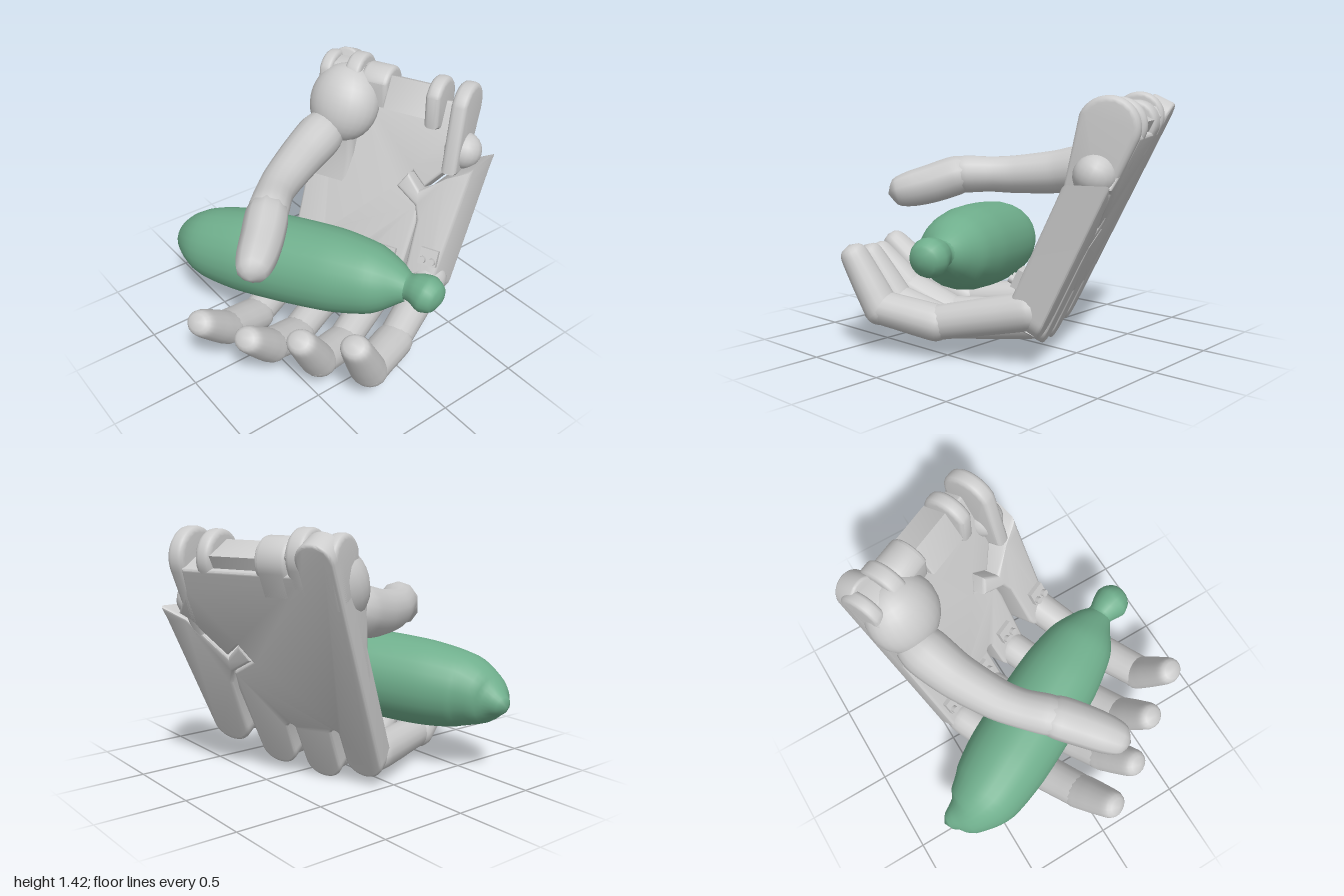
import * as THREE from 'three';
import { mergeVertices, toCreasedNormals } from 'three/addons/utils/BufferGeometryUtils.js';

const V = (x, y, z) => new THREE.Vector3(x, y, z);
// Hand axes: W across the palm, F along the fingers, U up the tilted palm, N out of it
const W = V(0.41, 0, 0.912), F = V(-0.912, 0, 0.41);
const U = V(0.391, 0.903, -0.176), N = V(-0.823, 0.429, 0.37);
const place = (w, f, y) => V(0, y, 0).addScaledVector(W, w).addScaledVector(F, f);

export function createModel() {
  const model = new THREE.Group();
  const grey = new THREE.MeshStandardMaterial({ color: 0xcccccc });
  const green = new THREE.MeshStandardMaterial({ color: 0x6fae8c });

  const add = (parent, name, geometry, material = grey) => {
    const mesh = new THREE.Mesh(geometry, material);
    mesh.name = name;
    parent.add(mesh);
    return mesh;
  };

  // Round body swept through points [vector, radius]; widen stretches it across the palm
  function sweep(stations, steps = 28, sides = 16, widen = 0) {
    const curve = new THREE.CatmullRomCurve3(stations.map(s => s[0]), false, 'catmullrom', 0.4);
    const radius = new THREE.CatmullRomCurve3(stations.map((s, i) => V(s[1], i, 0)), false, 'catmullrom', 0.4);
    const g = new THREE.TubeGeometry(curve, steps, 1, sides);
    const p = g.attributes.position, v = V();
    for (let i = 0; i <= steps; i++) {
      const c = curve.getPointAt(i / steps);
      const r = Math.max(0, radius.getPoint(curve.getUtoTmapping(i / steps)).x);
      for (let j = 0; j <= sides; j++) {
        const k = i * (sides + 1) + j;
        v.fromBufferAttribute(p, k).sub(c).multiplyScalar(r);
        v.addScaledVector(W, widen * v.dot(W)).add(c);
        p.setXYZ(k, v.x, v.y, v.z);
      }
    }
    g.deleteAttribute('uv');
    g.deleteAttribute('normal');
    const merged = mergeVertices(g, 1e-4);
    merged.computeVertexNormals();
    return merged;
  }

  // Straight bone with rounded ends and a slight waist
  function bone(a, b, r0, r1, widen) {
    const d = b.clone().sub(a), len = d.length();
    d.normalize();
    const at = s => a.clone().addScaledVector(d, s);
    const mid = (r0 + r1) * 0.49;
    return sweep([[at(-r0), 0], [at(-r0 * 0.8), r0 * 0.6], [at(-r0 * 0.3), r0 * 0.95], [at(len * 0.25), (r0 + mid) / 2],
      [at(len * 0.6), mid], [at(len + r1 * 0.2), r1 * 0.97], [at(len + r1 * 0.75), r1 * 0.7], [at(len + r1), 0]], 30, 16, widen);
  }

  // Four fingers: w, then joints as [f, y] from knuckle to tip
  const fingers = [
    [-0.34, [[-0.18, 0.17], [0.38, 0.14], [0.68, 0.28], [0.87, 0.46]]],
    [-0.06, [[-0.18, 0.125], [0.38, 0.11], [0.66, 0.25], [0.84, 0.44]]],
    [0.22, [[-0.2, 0.175], [0.33, 0.12], [0.61, 0.23], [0.77, 0.48]]],
    [0.51, [[-0.25, 0.3], [0.25, 0.2], [0.57, 0.26], [0.72, 0.53]]]
  ];
  const radii = [0.106, 0.1, 0.098, 0.08];
  const bones = ['lowerBone', 'middleBone', 'fingertip'];
  fingers.forEach(([w, joints], i) => {
    const finger = new THREE.Group();
    finger.name = 'finger' + (i + 1);
    const pts = joints.map(([f, y]) => place(w, f, y));
    for (let k = 0; k < 3; k++)
      add(finger, bones[k], bone(pts[k], pts[k + 1], radii[k], radii[k + 1] * 0.95, k ? 0.13 : 0));
    model.add(finger);
  });

  // Thumb
  add(model, 'thumbLower', sweep([[V(0.38, 1.05, -0.51), 0], [V(0.35, 1.03, -0.5), 0.1], [V(0.24, 0.99, -0.46), 0.14],
    [V(0.04, 0.95, -0.38), 0.13], [V(-0.18, 0.93, -0.26), 0.115], [V(-0.3, 0.93, -0.17), 0.108],
    [V(-0.42, 0.93, -0.05), 0.112], [V(-0.47, 0.92, 0.0), 0.075], [V(-0.49, 0.92, 0.02), 0]], 36));
  add(model, 'thumbTip', sweep([[V(-0.36, 0.94, -0.11), 0], [V(-0.38, 0.94, -0.09), 0.08], [V(-0.44, 0.925, -0.03), 0.118],
    [V(-0.55, 0.875, 0.08), 0.118], [V(-0.65, 0.84, 0.17), 0.108], [V(-0.72, 0.82, 0.23), 0.08], [V(-0.75, 0.81, 0.26), 0]], 26, 10));

  // Palm group: x across, y up the palm, z out of the palm
  const palm = new THREE.Group();
  palm.name = 'palm';
  palm.matrix.makeBasis(W, U, N).setPosition(F.clone().multiplyScalar(-0.25));
  palm.matrix.decompose(palm.position, palm.quaternion, palm.scale);
  model.add(palm);

  const extrude = (shape, depth, bevel) => new THREE.ExtrudeGeometry(shape, {
    depth: depth - 2 * bevel, bevelEnabled: true, bevelSize: bevel, bevelThickness: bevel,
    bevelOffset: -bevel, bevelSegments: 3, curveSegments: 10
  }).translate(0, 0, bevel);

  // Main plate with finger lobes below and a lug at the inner corner
  const plate = new THREE.Shape();
  plate.moveTo(-0.43, 1.4);
  plate.lineTo(-0.43, 0.16);
  plate.absarc(-0.325, 0.16, 0.105, Math.PI, 2 * Math.PI);
  plate.absarc(-0.192, 0.34, 0.023, Math.PI, 0, true);
  plate.absarc(-0.065, 0.11, 0.107, Math.PI, 2 * Math.PI);
  plate.absarc(0.075, 0.34, 0.023, Math.PI, 0, true);
  plate.absarc(0.208, 0.165, 0.11, Math.PI, 2 * Math.PI);
  [[0.35, 0.57], [0.34, 0.69], [0.2, 0.775], [0.26, 0.875], [0.35, 0.8], [0.53, 1.02], [0.58, 1.05], [0.48, 1.2],
    [0.46, 1.33], [-0.22, 1.33]].forEach(p => plate.lineTo(...p));
  plate.absarc(-0.325, 1.4, 0.105, 0, Math.PI);
  add(palm, 'palmPlate', toCreasedNormals(extrude(plate, 0.14, 0.015), 0.6));

  // Outer plate that carries the fourth finger; its top edge is level and its side drafts inwards
  const outer = new THREE.Shape();
  outer.moveTo(0.69, 1.09);
  [[0.54, 1.02], [0.35, 0.785], [0.26, 0.87], [0.205, 0.775], [0.345, 0.69], [0.375, 0.61]].forEach(p => outer.lineTo(...p));
  outer.absarc(0.495, 0.29, 0.12, Math.PI, 2 * Math.PI);
  outer.lineTo(0.68, 1.0);
  const outerGeometry = extrude(outer, 0.22, 0.02);
  const op = outerGeometry.attributes.position;
  for (let i = 0; i < op.count; i++) {
    const x = op.getX(i), y = op.getY(i), z = op.getZ(i);
    op.setXY(i, x > 0.55 ? x - 0.25 * z : x, y > 0.92 ? y - 0.5 * z : y);
  }
  add(palm, 'outerPlate', toCreasedNormals(outerGeometry, 0.6));

  // Side profile [up, out] extruded across the palm
  const across = new THREE.Matrix4().makeBasis(V(0, 1, 0), V(0, 0, 1), V(1, 0, 0));
  const sidePart = (name, profile, w0, w1, bevel) => {
    const shape = Array.isArray(profile) ? new THREE.Shape(profile.map(p => new THREE.Vector2(...p))) : profile;
    add(palm, name, toCreasedNormals(extrude(shape, w1 - w0, bevel).applyMatrix4(across).translate(w0, 0, 0), 0.6));
  };
  const lug = (low, top, out) => {
    const s = new THREE.Shape();
    s.moveTo(low, 0);
    s.lineTo(top - out / 2, 0);
    s.absarc(top - out / 2, out / 2, out / 2, -Math.PI / 2, Math.PI / 2);
    s.lineTo(low, out * 0.7);
    return s;
  };
  sidePart('outerWristLug', lug(0.92, 1.47, 0.32), 0.45, 0.545, 0.03);
  sidePart('innerWristLug', lug(1.15, 1.47, 0.29), 0.28, 0.37, 0.03);
  sidePart('thumbHingeLug', lug(1.15, 1.5, 0.28), -0.26, -0.16, 0.025);
  sidePart('thumbEdgeLug', lug(1.15, 1.48, 0.27), -0.43, -0.35, 0.025);
  sidePart('wristBarrel', lug(1.2, 1.46, 0.25), -0.16, 0.02, 0.025);
  sidePart('wristBlock', [[1.2, 0.03], [1.4, 0.03], [1.4, 0.2], [1.2, 0.22]], 0.01, 0.29, 0.012);

  // Thumb mount: inner edge wall and a rounded socket
  sidePart('thumbMount', [[0.55, 0.02], [1.42, 0.02], [1.46, 0.07], [1.45, 0.16], [1.4, 0.23], [1.28, 0.28],
    [1.1, 0.28], [0.98, 0.23], [0.84, 0.16], [0.55, 0.12]], -0.43, -0.14, 0.04);
  add(palm, 'thumbSocket', new THREE.SphereGeometry(1, 24, 16).scale(0.22, 0.24, 0.18)).position.set(-0.25, 1.18, 0.19);

  // Ball at the foot of the outer wrist lug
  add(palm, 'wristBall', new THREE.SphereGeometry(0.11, 18, 12)).position.set(0.525, 1.07, 0.115);

  // Small tendon guides at the foot of the palm
  fingers.forEach(([w], i) => {
    const u = [0.34, 0.3, 0.34, 0.42][i], n = i === 3 ? 0.22 : 0.14;
    add(palm, 'tendonBlock', new THREE.BoxGeometry(0.11, 0.1, 0.06)).position.set(w, u, n);
    for (const s of [-1, 1]) {
      const guide = add(palm, 'tendonGuide', new THREE.CylinderGeometry(0.022, 0.022, 0.09, 10));
      guide.rotation.x = Math.PI / 2;
      guide.position.set(w + s * 0.03, u - 0.02, n + 0.01);
    }
  });

  // Held fruit: tip, plump body, neck and stub
  const a = V(-0.64, 0.44, -0.8), b = V(0.025, 0.575, 0.54);
  const on = t => a.clone().lerp(b, t);
  add(model, 'fruit', sweep([[V(-0.53, 0.42, -0.825), 0], [V(-0.531, 0.42, -0.81), 0.04], [V(-0.535, 0.43, -0.76), 0.075],
    [V(-0.54, 0.44, -0.68), 0.148], [on(0.2), 0.215], [on(0.35), 0.248], [on(0.55), 0.252], [on(0.75), 0.24], [on(0.9), 0.2],
    [on(0.98), 0.14], [V(0.045, 0.58, 0.6), 0.075]], 48, 24), green);
  add(model, 'fruitStub', sweep([[V(0.035, 0.58, 0.55), 0.09], [V(0.05, 0.585, 0.6), 0.075], [V(0.07, 0.59, 0.66), 0.096],
    [V(0.085, 0.585, 0.71), 0.107], [V(0.1, 0.575, 0.77), 0.075], [V(0.105, 0.57, 0.795), 0]], 20, 18), green);

  return model;
}
